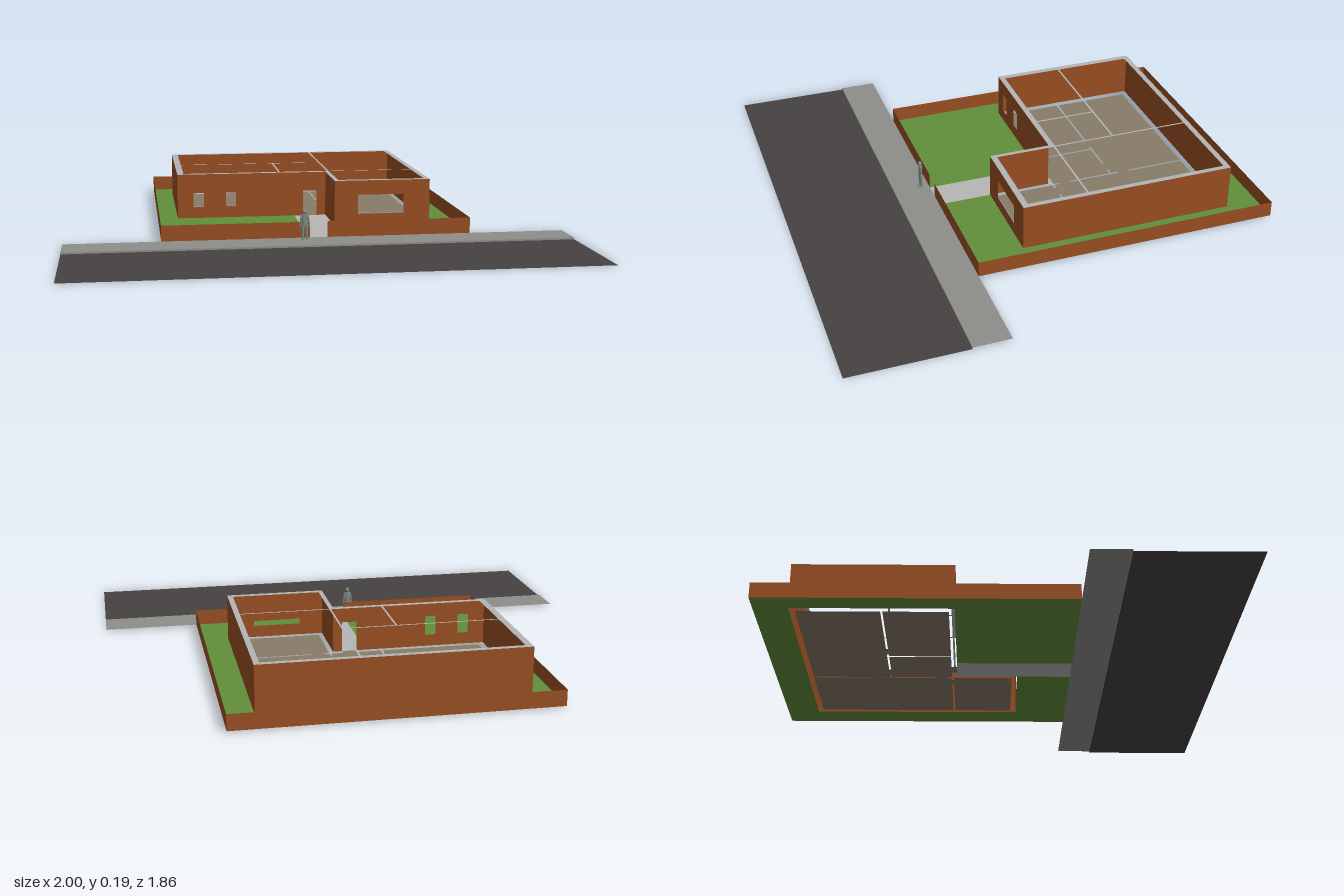
import * as THREE from 'three';

const mat = (name, color) => {
  const m = new THREE.MeshStandardMaterial({ color, side: THREE.DoubleSide });
  m.name = name;
  return m;
};

export function createModel() {
  const brick = mat('brick brown', 0x984e22);
  const cap = mat('wall top grey', 0xb2b4b6);
  const grass = mat('grass green', 0x628f3a);
  const floor = mat('floor taupe', 0x887b69);
  const pathGrey = mat('path grey', 0xb6b6b4);
  const pavement = mat('pavement grey', 0x8d8d89);
  const asphalt = mat('asphalt', 0x464241);
  const figureGrey = mat('figure grey', 0x828a86);

  const model = new THREE.Group();
  const G = 0.007, FENCE = 0.07, TOP = 0.195;

  const add = (name, geo, material, parent = model) => {
    const mesh = new THREE.Mesh(geo, material);
    mesh.name = name;
    parent.add(mesh);
    return mesh;
  };
  const pts = (list) => list.map(([a, b]) => new THREE.Vector2(a, b));
  const rect = (a0, b0, a1, b1) => [[a0, b0], [a1, b0], [a1, b1], [a0, b1]];
  const shape = (outline, holes = []) => {
    const s = new THREE.Shape(pts(outline));
    holes.forEach((h) => s.holes.push(new THREE.Path(pts(h))));
    return s;
  };

  // Horizontal sheet from [x, z] corners, facing up
  const sheet = (name, y, material, outline, holes = []) => {
    const flip = (l) => l.map(([x, z]) => [x, -z]);
    const geo = new THREE.ShapeGeometry(shape(flip(outline), holes.map(flip)));
    add(name, geo.rotateX(-Math.PI / 2).translate(0, y, 0), material);
  };
  // Upright panels: one across x (facing z), one across z (facing x)
  const panelX = (name, z, outline, holes) =>
    add(name, new THREE.ShapeGeometry(shape(outline, holes)).translate(0, 0, z), brick);
  const panelZ = (name, x, z0, z1, h) =>
    add(name, new THREE.ShapeGeometry(shape(rect(-z1, G, -z0, h))).rotateY(Math.PI / 2).translate(x, 0, 0), brick);

  // Street with a low kerb
  sheet('road', 0, asphalt, rect(-1, 0.46, 1, 0.925));
  sheet('sidewalk', G, pavement, rect(-1, 0.31, 1, 0.46));
  add('kerb', new THREE.PlaneGeometry(2, G).translate(0, G / 2, 0.46), pavement);

  // Lawn around the L-shaped house and the path
  const house = [[-0.535, -0.795], [0.5, -0.795], [0.5, 0.09], [0.1, 0.09], [0.1, -0.165], [-0.535, -0.165]];
  sheet('lawnBack', G, grass, rect(-0.62, -0.93, 0.615, -0.795));
  sheet('lawnLeft', G, grass, rect(0.5, -0.795, 0.615, 0.31));
  sheet('lawnRight', G, grass, rect(-0.62, -0.795, -0.535, -0.165));
  sheet('lawnFront', G, grass, rect(-0.62, -0.165, -0.035, 0.31));
  sheet('lawnCorner', G, grass, [[0.1, 0.09], [0.5, 0.09], [0.5, 0.31], [0.095, 0.31], [0.095, 0.09]]);
  sheet('path', G, pathGrey, rect(-0.035, -0.165, 0.1, 0.31));

  // Garden fence with a gate opening
  panelX('fenceFrontRight', 0.31, rect(-0.62, G, -0.035, FENCE));
  panelX('fenceFrontLeft', 0.31, rect(0.035, G, 0.615, FENCE));
  panelX('fenceBack', -0.93, rect(-0.62, G, 0.615, FENCE));
  panelZ('fenceRight', -0.62, -0.93, 0.31, FENCE);
  panelZ('fenceLeft', 0.615, -0.93, 0.31, FENCE);

  // House walls with windows and door opening
  const sill = 0.055, head = 0.135;
  panelX('entranceWall', -0.165,
    [[-0.535, G], [0.002, G], [0.002, 0.13], [0.062, 0.13], [0.062, G], [0.1, G], [0.1, TOP], [-0.535, TOP]],
    [rect(-0.468, sill, -0.424, head), rect(-0.33, sill, -0.286, head)]);
  panelX('frontRoomWall', 0.09, rect(0.1, G, 0.5, TOP), [rect(0.197, sill, 0.39, head)]);
  panelX('backWall', -0.795, rect(-0.535, G, 0.5, TOP));
  panelZ('rightWall', -0.535, -0.795, -0.165, TOP);
  panelZ('leftWall', 0.5, -0.795, 0.09, TOP);
  panelZ('porchWall', 0.1, -0.165, 0.09, TOP);

  // Rooms: [x0, z0, x1, z1]
  const rooms = [
    [-0.508, -0.772, 0.11, -0.449],
    [-0.508, -0.441, -0.102, -0.188],
    [-0.094, -0.441, 0.11, -0.188],
    [0.118, -0.772, 0.478, -0.188],
    [0.118, -0.18, 0.478, 0.065],
  ].map((r) => rect(...r));
  rooms.forEach((r, i) => sheet('roomFloor' + (i + 1), G, floor, r));
  // Doorway thresholds
  [[-0.17, -0.449, -0.12, -0.441], [0.03, -0.449, 0.08, -0.441], [0.11, -0.53, 0.118, -0.48],
    [0.11, -0.26, 0.118, -0.21], [0.14, -0.188, 0.19, -0.18], [0.002, -0.188, 0.062, -0.165]]
    .forEach((r, i) => sheet('threshold' + (i + 1), G, floor, rect(...r)));
  // Wall tops cover everything except the rooms
  sheet('wallTops', TOP, cap, house, rooms);

  // Person standing on the sidewalk
  const person = new THREE.Group();
  person.name = 'person';
  person.position.set(-0.06, G, 0.342);
  model.add(person);
  const limb = (name, r0, r1, h, x, y, z, tilt = 0) => {
    const m = add(name, new THREE.CylinderGeometry(r0, r1, h, 8), figureGrey, person);
    m.position.set(x, y, z);
    m.rotation.z = tilt;
    return m;
  };
  for (const s of [-1, 1]) {
    limb('leg', 0.0075, 0.0045, 0.056, s * 0.0075, 0.03, 0);
    limb('arm', 0.0042, 0.003, 0.046, s * 0.0155, 0.073, 0, s * 0.13);
    add('foot', new THREE.BoxGeometry(0.007, 0.005, 0.018), figureGrey, person)
      .position.set(s * 0.0075, 0.0025, 0.004);
  }
  limb('torso', 0.0135, 0.011, 0.044, 0, 0.077, 0).scale.z = 0.65;
  limb('neck', 0.0035, 0.004, 0.008, 0, 0.101, 0);
  const headMesh = add('head', new THREE.SphereGeometry(0.0085, 10, 8), figureGrey, person);
  headMesh.position.set(0, 0.11, 0.001);
  headMesh.scale.y = 1.2;

  return model;
}
